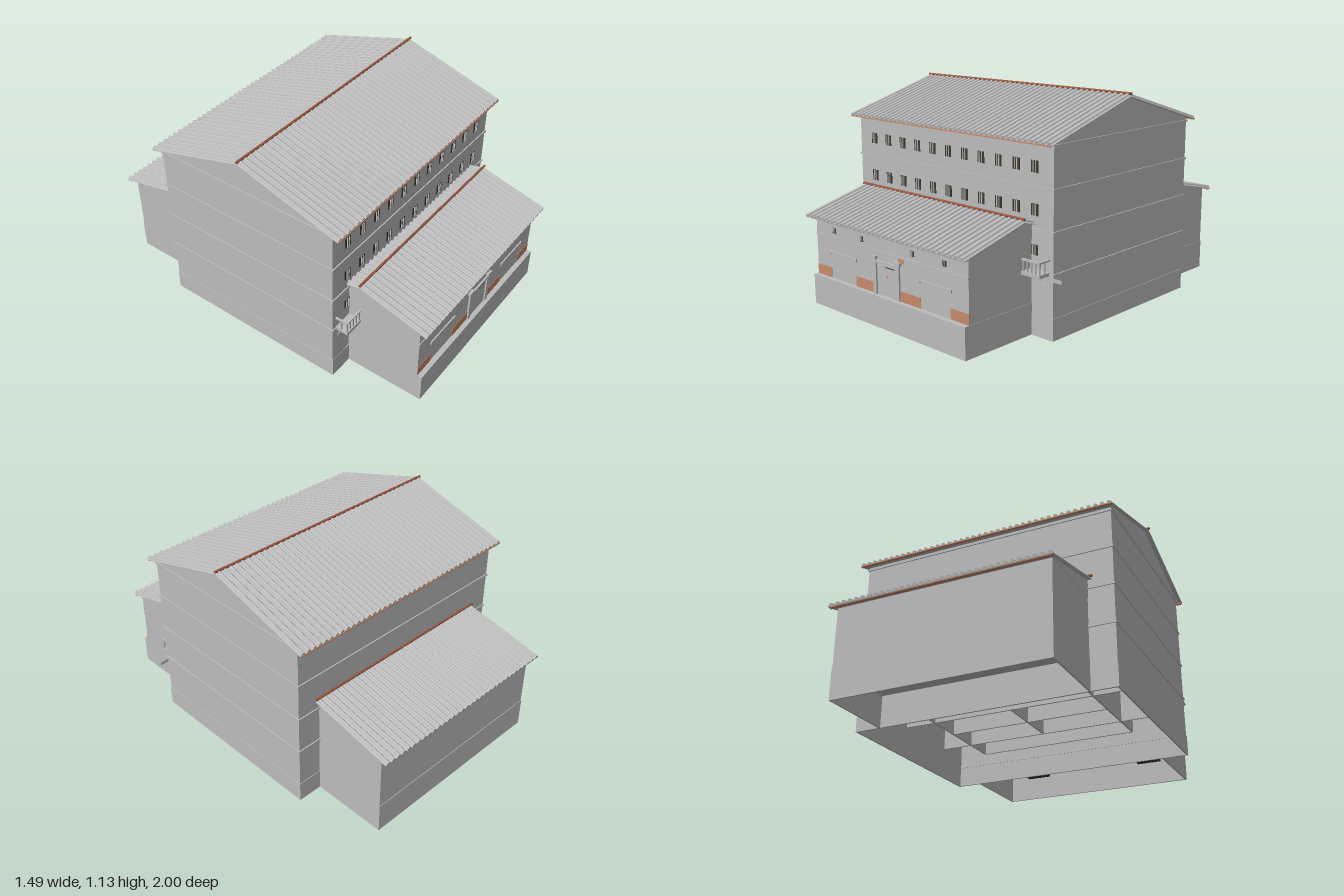
import * as THREE from 'three';

const mat = (name, color, side = THREE.FrontSide) => {
  const m = new THREE.MeshStandardMaterial({ color, side });
  m.name = name;
  return m;
};

export function createModel() {
  const plaster = mat('grey plaster', 0xbcbcbc);
  const brick = mat('terracotta brick', 0xc78a6c);
  const ridgeTile = mat('ridge terracotta', 0x9a583f);
  const dark = mat('dark opening', 0x3d372c);

  const root = new THREE.Group();
  root.name = 'building';
  const body = new THREE.Group();
  body.name = 'body';
  body.position.x = -0.01; // the side plate shifts the building off centre
  root.add(body);

  const add = (name, geo, material, parent = body) => {
    const m = new THREE.Mesh(geo, material);
    m.name = name;
    parent.add(m);
    return m;
  };

  // Box given by its limits on each axis
  const box = (name, x0, x1, y0, y1, z0, z1, material = plaster, parent = body) => {
    const m = add(name, new THREE.BoxGeometry(x1 - x0, y1 - y0, z1 - z0), material, parent);
    m.position.set((x0 + x1) / 2, (y0 + y1) / 2, (z0 + z1) / 2);
    return m;
  };

  // Four walls open at top and bottom
  const wallRing = (name, hx, z0, z1, y0, y1, t = 0.01) => {
    const s = new THREE.Shape([[-hx, -z0], [-hx, -z1], [hx, -z1], [hx, -z0]].map(p => new THREE.Vector2(...p)));
    s.holes.push(new THREE.Path([[-hx + t, -z0 - t], [hx - t, -z0 - t], [hx - t, -z1 + t], [-hx + t, -z1 + t]]
      .map(p => new THREE.Vector2(...p))));
    const g = new THREE.ExtrudeGeometry(s, { depth: y1 - y0, bevelEnabled: false });
    g.rotateX(-Math.PI / 2);
    add(name, g, plaster).position.y = y0;
  };

  // Solid gable: a (z, y) outline extruded along x
  const gable = (name, hx, pts) => {
    const s = new THREE.Shape(pts.map(([z, y]) => new THREE.Vector2(-z, y)));
    const g = new THREE.ExtrudeGeometry(s, { depth: 2 * hx, bevelEnabled: false });
    g.rotateY(Math.PI / 2);
    add(name, g, plaster).position.x = -hx;
  };

  // Slope of alternating cover and channel tiles from a ridge down to an eave
  const tiledSlope = (name, hx, zr, yr, ze, ye, ribs) => {
    const pitch = (2 * hx) / ribs, r = pitch * 0.27, steps = 6;
    const s = new THREE.Shape();
    s.moveTo(hx, -0.009);
    for (let i = ribs - 1; i >= 0; i--) {
      const x = -hx + (i + 0.5) * pitch;
      s.lineTo(x + pitch / 2, -0.006);
      s.lineTo(x + pitch * 0.36, -0.004);
      for (let k = 0; k <= steps; k++) {
        const a = (k / steps) * Math.PI;
        s.lineTo(x + Math.cos(a) * r, Math.sin(a) * r);
      }
      s.lineTo(x - pitch * 0.36, -0.004);
    }
    s.lineTo(-hx, -0.006);
    s.lineTo(-hx, -0.009);
    const dz = Math.abs(ze - zr), dy = yr - ye;
    const g = new THREE.ExtrudeGeometry(s, { depth: Math.hypot(dz, dy), bevelEnabled: false });
    const m = add(name, g, plaster);
    m.rotation.order = 'YXZ';
    m.rotation.set(Math.atan2(dy, dz), ze < zr ? Math.PI : 0, 0);
    m.position.set(0, yr - 0.008, zr);
  };

  const ridge = (name, hx, y, z) => {
    const g = new THREE.CylinderGeometry(0.007, 0.007, 2 * hx, 8);
    g.rotateZ(Math.PI / 2);
    add(name, g, ridgeTile).position.set(0, y, z);
  };

  // Main block
  wallRing('mainBase', 0.707, -0.54, 0.54, 0, 0.11);
  wallRing('mainWalls', 0.704, -0.537, 0.537, 0.11, 0.95);
  box('mainFloor', -0.7, 0.7, 0.32, 0.34, -0.53, 0.53);
  gable('mainGable', 0.707, [[-0.57, 0.95], [0.57, 0.95], [0, 1.115]]);
  for (const y of [0.325, 0.528, 0.73, 0.935])
    wallRing('stringCourse', 0.71, -0.543, 0.543, y - 0.005, y + 0.005);
  for (const s of [-1, 1]) {
    tiledSlope('mainRoof', 0.73, 0, 1.128, s * 0.585, 0.957, 41);
    box('eaveTrim', -0.725, 0.725, 0.938, 0.944, s * 0.58 - 0.008, s * 0.58 + 0.008, brick);
  }
  ridge('mainRidge', 0.734, 1.127, 0);

  // Partition walls under the main floor
  for (const [i, z] of [-0.38, -0.2, 0, 0.2, 0.38].entries()) {
    const half = i % 2 ? 0.62 : 0.45;
    box('partitionWall', -half, half, 0.12, 0.32, z - 0.005, z + 0.005);
  }
  for (const x of [-0.45, 0.45]) box('crossWall', x - 0.005, x + 0.005, 0.12, 0.32, -0.38, 0.38);
  box('middleWall', -0.005, 0.005, 0.12, 0.32, -0.2, 0.2);

  // Front wing
  wallRing('frontBase', 0.57, 0.53, 0.978, 0, 0.16);
  wallRing('frontWalls', 0.568, 0.53, 0.95, 0.16, 0.48);
  box('baseLedge', -0.568, 0.568, 0.15, 0.16, 0.942, 0.975);
  gable('frontGable', 0.571, [[0.53, 0.48], [0.975, 0.48], [0.615, 0.575], [0.53, 0.552]]);
  tiledSlope('frontRoof', 0.593, 0.615, 0.587, 1.0, 0.487, 33);
  tiledSlope('frontRoofBack', 0.593, 0.615, 0.587, 0.535, 0.567, 33);
  ridge('frontRidge', 0.596, 0.588, 0.615);
  box('frontEaveTrim', -0.588, 0.588, 0.468, 0.474, 0.975, 0.994, brick);
  for (const s of [-1, 1]) box('innerRoom', s * 0.36 - 0.07, s * 0.36 + 0.07, 0.12, 0.34, 0.82, 0.938, dark);

  // Back wing
  wallRing('backBase', 0.57, -0.953, -0.53, 0, 0.16);
  wallRing('backWalls', 0.568, -0.95, -0.53, 0.16, 0.48);
  box('backFloor', -0.563, 0.563, 0.17, 0.19, -0.945, -0.535);
  gable('backGable', 0.571, [[-0.975, 0.48], [-0.53, 0.48], [-0.53, 0.575]]);
  tiledSlope('backRoof', 0.593, -0.537, 0.59, -1.0, 0.487, 33);
  ridge('backRidge', 0.596, 0.591, -0.542);
  box('backEaveTrim', -0.588, 0.588, 0.468, 0.474, -0.994, -0.975, brick);

  // Windows: a dark plate divided by two bars
  const barredWindow = (x, y0, y1, w, z) => {
    const g = new THREE.Group();
    g.name = 'window';
    body.add(g);
    box('opening', x - w / 2, x + w / 2, y0, y1, z - 0.004, z + 0.002, dark, g);
    for (const s of [-1, 1]) {
      const bx = x + s * w / 6;
      box('bar', bx - w / 22, bx + w / 22, y0, y1, z, z + 0.007, plaster, g);
    }
  };
  for (let i = -5; i <= 5; i++) {
    const x = i * 0.1175;
    barredWindow(x, 0.797, 0.855, 0.044, 0.537);
    barredWindow(x, 0.592, 0.65, 0.044, 0.537);
    if (Math.abs(i) === 5) barredWindow(x, 0.402, 0.452, 0.044, 0.537);
  }
  for (const x of [-0.415, -0.193, 0.19, 0.412]) barredWindow(x, 0.403, 0.43, 0.028, 0.95);

  // Front wing ornament: cornice line, hood mouldings, exposed brick
  box('cornice', -0.57, 0.57, 0.376, 0.384, 0.945, 0.955);
  for (const s of [-1, 1]) {
    const x = s * 0.348;
    box('hoodMoulding', x - 0.112, x + 0.112, 0.295, 0.304, 0.945, 0.957);
    for (const t of [-1, 1])
      box('hoodReturn', x + t * 0.107 - 0.005, x + t * 0.107 + 0.005, 0.286, 0.296, 0.945, 0.957);
    box('sideMoulding', s * 0.62 - 0.05, s * 0.62 + 0.05, 0.262, 0.268, 0.53, 0.541);
    const outer = [s * 0.45, s * 0.568].sort((a, b) => a - b);
    const inner = [s * 0.098, s * 0.245].sort((a, b) => a - b);
    for (const [a, b] of [outer, inner]) box('exposedBrick', a, b, 0.16, 0.213, 0.946, 0.952, brick);
  }
  box('brickPatch', 0.088, 0.13, 0.355, 0.375, 0.946, 0.952, brick);

  // Doorway: pilasters, capitals, lintel and two leaves
  for (const s of [-1, 1]) {
    box('pilaster', s * 0.086 - 0.012, s * 0.086 + 0.012, 0.16, 0.34, 0.945, 0.96);
    box('capital', s * 0.09 - 0.02, s * 0.09 + 0.02, 0.34, 0.355, 0.945, 0.965);
  }
  box('doorLeaves', -0.07, 0.07, 0.162, 0.315, 0.945, 0.954);
  box('lintel', -0.078, 0.078, 0.322, 0.335, 0.945, 0.96);
  box('doorSlot', -0.002, 0.06, 0.308, 0.312, 0.95, 0.956, dark);
  box('doorBrick', 0, 0.012, 0.255, 0.272, 0.95, 0.956, brick);

  // Balconies either side of the front wing
  for (const s of [-1, 1]) {
    const g = new THREE.Group();
    g.name = 'balcony';
    body.add(g);
    const [a, b] = [s * 0.565, s * 0.682].sort((p, q) => p - q);
    box('slab', a, b, 0.318, 0.335, 0.53, 0.61, plaster, g);
    box('handrail', a, b, 0.388, 0.397, 0.597, 0.608, plaster, g);
    box('endRail', s * 0.677 - 0.005, s * 0.677 + 0.005, 0.388, 0.397, 0.535, 0.608, plaster, g);
    for (let i = 0; i < 5; i++) {
      const x = s * (0.577 + i * 0.025);
      box('baluster', x - 0.004, x + 0.004, 0.335, 0.39, 0.599, 0.607, plaster, g);
    }
    box('endPost', s * 0.677 - 0.004, s * 0.677 + 0.004, 0.335, 0.39, 0.565, 0.573, plaster, g);
  }

  // Thin plate standing out past the left side
  box('sidePlate', 0.695, 0.755, 0.292, 0.31, 0.536, 0.539);

  return root;
}
